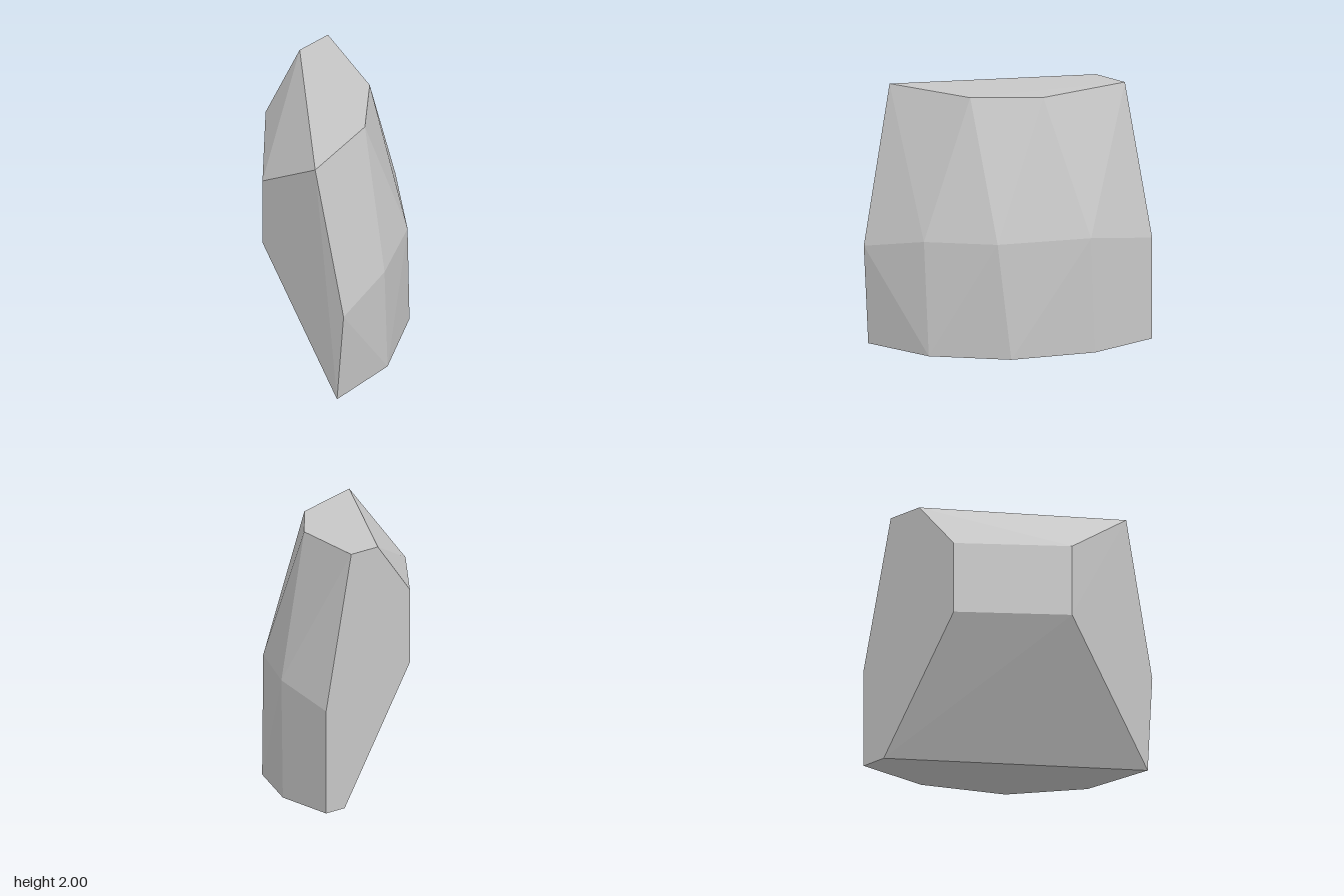
import * as THREE from 'three';
import { ConvexGeometry } from 'three/addons/geometries/ConvexGeometry.js';

const V = (p) => new THREE.Vector3(...p);

export function createModel() {
  const group = new THREE.Group();
  group.name = 'stoneChunk';
  const stone = new THREE.MeshStandardMaterial({ color: 0xc7c7c7 });
  stone.name = 'stoneGrey';

  // Rounded outer face: three rings running from the left cut to the back cut
  const topRing = [[-0.775, 2, 0.467], [-0.11, 1.99, 0.3], [0.29, 1.985, -0.08], [0.5, 1.985, -0.772]];
  const middleRing = [[-0.765, 0.79, 0.772], [-0.25, 0.905, 0.67], [0.245, 0.92, 0.39], [0.665, 0.92, -0.2], [0.775, 0.81, -0.772]];
  const bottomRing = [[-0.775, 0, 0.71], [-0.21, 0.005, 0.66], [0.325, 0.01, 0.325], [0.68, 0.01, -0.23], [0.775, 0.01, -0.772]];

  // Chiselled inner side: ends of the top and bottom edges, and the small raised panel
  const innerEdge = [[0.21, 1.985, -0.772], [0.572, 0.01, -0.772]];
  const panel = [];
  for (const y of [1.008, 1.58]) panel.push([-0.14, y, -0.772], [-0.765, y, -0.13]);

  // The chunk is faceted and convex
  const points = [...topRing, ...middleRing, ...bottomRing, ...innerEdge, ...panel].map(V);
  const chunk = new THREE.Mesh(new ConvexGeometry(points), stone);
  chunk.name = 'chunk';
  group.add(chunk);
  return group;
}
